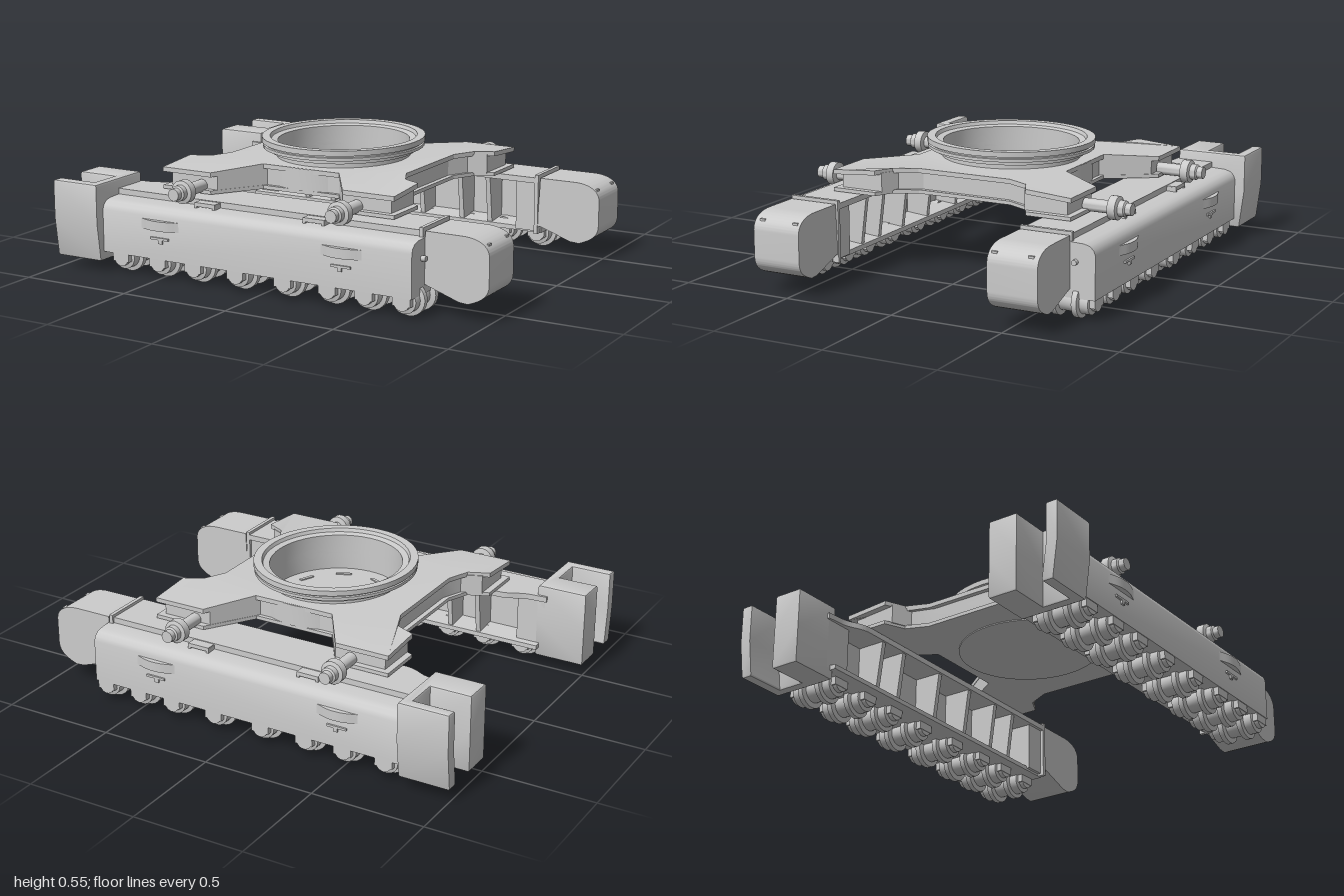
import * as THREE from 'three';
import { toCreasedNormals } from 'three/addons/utils/BufferGeometryUtils.js';

const mat = new THREE.MeshStandardMaterial({ color: 0xcccccc, side: THREE.DoubleSide });

function add(parent, name, geo, x = 0, y = 0, z = 0) {
  const m = new THREE.Mesh(geo, mat);
  m.name = name;
  m.position.set(x, y, z);
  parent.add(m);
  return m;
}
const box = (parent, name, x0, x1, y0, y1, z0, z1) => add(parent, name,
  new THREE.BoxGeometry(x1 - x0, y1 - y0, z1 - z0), (x0 + x1) / 2, (y0 + y1) / 2, (z0 + z1) / 2);
const poly = pts => new THREE.Shape(pts.map(p => new THREE.Vector2(p[0], p[1])));
const extrude = (shape, depth, opts = {}) => new THREE.ExtrudeGeometry(shape,
  { depth, bevelEnabled: false, curveSegments: 24, ...opts });
// (z, y) section swept along x
const alongX = (pts, x0, x1) => toCreasedNormals(
  extrude(poly(pts), x1 - x0).rotateY(-Math.PI / 2).translate(x1, 0, 0), 0.6);
// (x, z) outline swept along y
const alongY = (shape, y0, y1, opts) => extrude(shape, y1 - y0, opts).rotateX(Math.PI / 2).translate(0, y1, 0);
// turned part on a z axis, points are (radius, z)
const turned = (pts, seg = 24) => toCreasedNormals(new THREE.LatheGeometry(
  pts.map(p => new THREE.Vector2(p[0], p[1])), seg).rotateX(Math.PI / 2), 0.6);

const CX = -0.03, RZ = 1.06; // turntable centre and its z stretch

function addRollers(side) {
  const geo = turned([[0, -0.125], [0.035, -0.125], [0.035, -0.105], [0.052, -0.1], [0.052, -0.062],
    [0.07, -0.058], [0.07, -0.035], [0.048, -0.03], [0.048, 0.03], [0.07, 0.035], [0.07, 0.058],
    [0.052, 0.062], [0.052, 0.1], [0.035, 0.105], [0.035, 0.125], [0, 0.125]]);
  for (const x of [-0.69, -0.5, -0.32, -0.11, 0.12, 0.33, 0.5, 0.67]) {
    add(side, 'trackRoller', geo, x, 0.07, 0.635);
    for (const z of [0.52, 0.75]) box(side, 'rollerBracket', x - 0.04, x + 0.04, 0.055, 0.1, z - 0.012, z + 0.012);
  }
}

function addFork(side) {
  const u = poly([[-0.99, 0.5], [-0.785, 0.5], [-0.785, 0.8], [-0.99, 0.8], [-0.99, 0.77],
    [-0.81, 0.77], [-0.81, 0.61], [-0.99, 0.61]]);
  const geo = alongY(u, 0.06, 0.38, { steps: 2, bevelEnabled: true, bevelSize: 0.01, bevelThickness: 0.01, bevelSegments: 2 });
  // lower half of the outer cheek leans inward
  const p = geo.attributes.position;
  for (let i = 0; i < p.count; i++)
    if (p.getZ(i) > 0.7 && p.getY(i) < 0.1) p.setZ(i, p.getZ(i) - 0.02);
  add(side, 'idlerFork', toCreasedNormals(geo, 0.5));
}

function addDrive(side) {
  const s = new THREE.Shape();
  s.moveTo(0.71, 0.12);
  s.lineTo(0.72, 0.345);
  s.lineTo(0.88, 0.345);
  s.bezierCurveTo(0.95, 0.345, 1, 0.32, 1, 0.27);
  s.lineTo(1, 0.16);
  s.bezierCurveTo(1, 0.11, 0.96, 0.09, 0.91, 0.072);
  s.lineTo(0.87, 0.075);
  s.lineTo(0.71, 0.13);
  add(side, 'driveHousing', toCreasedNormals(extrude(s, 0.22), 0.5), 0, 0, 0.435);
  box(side, 'driveFlange', 0.695, 0.712, 0.09, 0.358, 0.43, 0.66);
  for (const z of [0.46, 0.62]) box(side, 'housingLug', 0.965, 0.985, 0.285, 0.32, z - 0.012, z + 0.012);
  add(side, 'endBolt', new THREE.CylinderGeometry(0.012, 0.012, 0.025, 10).rotateZ(Math.PI / 2), 0.725, 0.24, 0.68);
}

function addBeam(side) {
  // main rail with rounded shoulder and an open channel on the inside
  add(side, 'trackBeam', alongX([[0.46, 0.09], [0.765, 0.09], [0.765, 0.275], [0.757, 0.295], [0.74, 0.31],
    [0.715, 0.317], [0.65, 0.32], [0.64, 0.33], [0.57, 0.33], [0.57, 0.12], [0.46, 0.11]], -0.79, 0.718));
  const top = new THREE.Shape();
  top.moveTo(0.71, 0.43);
  top.lineTo(0.71, 0.65);
  top.lineTo(-0.82, 0.65);
  top.lineTo(-0.82, 0.48);
  top.lineTo(-0.75, 0.475);
  top.bezierCurveTo(-0.69, 0.47, -0.68, 0.44, -0.62, 0.432);
  add(side, 'beamTopPlate', toCreasedNormals(alongY(top, 0.32, 0.345), 0.5));
  box(side, 'driveEndBlock', 0.6, 0.7, 0.1, 0.33, 0.445, 0.6);
  box(side, 'forkEndBlock', -0.81, -0.68, 0.1, 0.33, 0.49, 0.6);
  // tapered ribs in the channel
  for (const x of [-0.5, -0.36, -0.1, 0.12, 0.32, 0.46])
    add(side, 'channelRib', alongX([[0.47, 0.1], [0.58, 0.1], [0.58, 0.33], [0.44, 0.33]], x - 0.011, x + 0.011));
  // bowed guards and small steps on the outer face
  for (const [x, d] of [[-0.48, 1], [0.4, -1]]) {
    const bow = new THREE.Shape();
    bow.moveTo(-0.14, 0.755);
    bow.bezierCurveTo(-0.07, 0.765, -0.06, 0.787, 0, 0.787);
    bow.bezierCurveTo(0.06, 0.787, 0.07, 0.765, 0.14, 0.755);
    add(side, 'sideGuard', toCreasedNormals(alongY(bow, 0.22, 0.262), 0.5), x, 0, 0);
    box(side, 'smallStep', x - 0.045, x + 0.045, 0.178, 0.188, 0.76, 0.773);
    box(side, 'smallStepLeg', x + d * 0.005 - 0.01, x + d * 0.005 + 0.01, 0.162, 0.18, 0.76, 0.773);
  }
  for (const x of [-0.3, 0.23]) {
    box(side, 'topStep', x - 0.05, x + 0.05, 0.325, 0.342, 0.65, 0.695);
    for (const e of [-0.045, 0.045]) box(side, 'topStepLeg', x + e - 0.006, x + e + 0.006, 0.3, 0.338, 0.65, 0.695);
  }
}

function addPins(side) {
  const geo = turned([[0, 0.54], [0.027, 0.54], [0.027, 0.655], [0.05, 0.66], [0.05, 0.695], [0.034, 0.7],
    [0.034, 0.725], [0.026, 0.73], [0.026, 0.755], [0, 0.755]]);
  for (const x of [-0.415, 0.345]) add(side, 'lockPin', geo, x, 0.377, 0);
}

function addCentreFrame(root) {
  const frame = new THREE.Group();
  frame.name = 'centreFrame';
  root.add(frame);
  // X outline: half of it, then mirrored across z
  const half = [[0.4, 0.22], [0.45, 0.32], [0.53, 0.36], [0.53, 0.565], [0.29, 0.565], [0.155, 0.36],
    [-0.22, 0.36], [-0.355, 0.565], [-0.6, 0.565], [-0.6, 0.36], [-0.51, 0.32], [-0.47, 0.22]];
  const outline = [...half, ...half.map(([x, z]) => [x, -z]).reverse()];
  const layer = (name, y0, y1, k, hole) => {
    const s = poly(outline.map(([x, z]) => [CX + (x - CX) * k, z * k]));
    if (hole) s.holes.push(new THREE.Path().absellipse(CX, 0, 0.285, 0.285 * RZ, 0, Math.PI * 2, true));
    const geo = alongY(s, y0, y1);
    const p = geo.attributes.position;
    // arms slope down a little toward their ends
    if (hole) for (let i = 0; i < p.count; i++)
      if (p.getY(i) > 0.4) p.setY(i, p.getY(i) - 0.075 * Math.max(0, Math.abs(p.getZ(i)) - 0.36));
    geo.computeVertexNormals();
    add(frame, name, toCreasedNormals(geo, 0.4));
  };
  layer('topPlate', 0.438, 0.458, 1, true);
  layer('armWeb', 0.36, 0.445, 0.95, true);
  layer('bottomPlate', 0.348, 0.364, 1, false);

  const lathe = (name, pts) => add(frame, name, toCreasedNormals(new THREE.LatheGeometry(
    pts.map(p => new THREE.Vector2(p[0], p[1])), 48), 0.5), CX, 0, 0).scale.set(1, 1, RZ);
  lathe('hubDrum', [[0.285, 0.362], [0.345, 0.362], [0.345, 0.457], [0.285, 0.457], [0.285, 0.362]]);
  lathe('hubBase', [[0, 0.343], [0.3, 0.343], [0.3, 0.35]]);
  lathe('slewRing', [[0.285, 0.44], [0.285, 0.525], [0.312, 0.53], [0.318, 0.545], [0.353, 0.545], [0.353, 0.522],
    [0.342, 0.52], [0.342, 0.515], [0.35, 0.513], [0.35, 0.5], [0.315, 0.497], [0.315, 0.48],
    [0.29, 0.478], [0.29, 0.44]]);
  // slotted pads round the hub floor
  for (let i = 0; i < 8; i++) {
    const a = (i + 0.5) * Math.PI / 4;
    const pad = add(frame, 'floorPad', new THREE.BoxGeometry(0.07, 0.006, 0.015),
      CX + 0.22 * Math.cos(a), 0.366, 0.22 * RZ * Math.sin(a));
    pad.rotation.y = Math.PI / 2 - a;
  }
}

export function createModel() {
  const root = new THREE.Group();
  root.name = 'undercarriage';
  for (const s of [1, -1]) {
    const side = new THREE.Group();
    side.name = s > 0 ? 'frontTrackFrame' : 'backTrackFrame';
    addBeam(side);
    addFork(side);
    addDrive(side);
    addRollers(side);
    addPins(side);
    side.scale.z = s;
    root.add(side);
  }
  addCentreFrame(root);
  return root;
}
